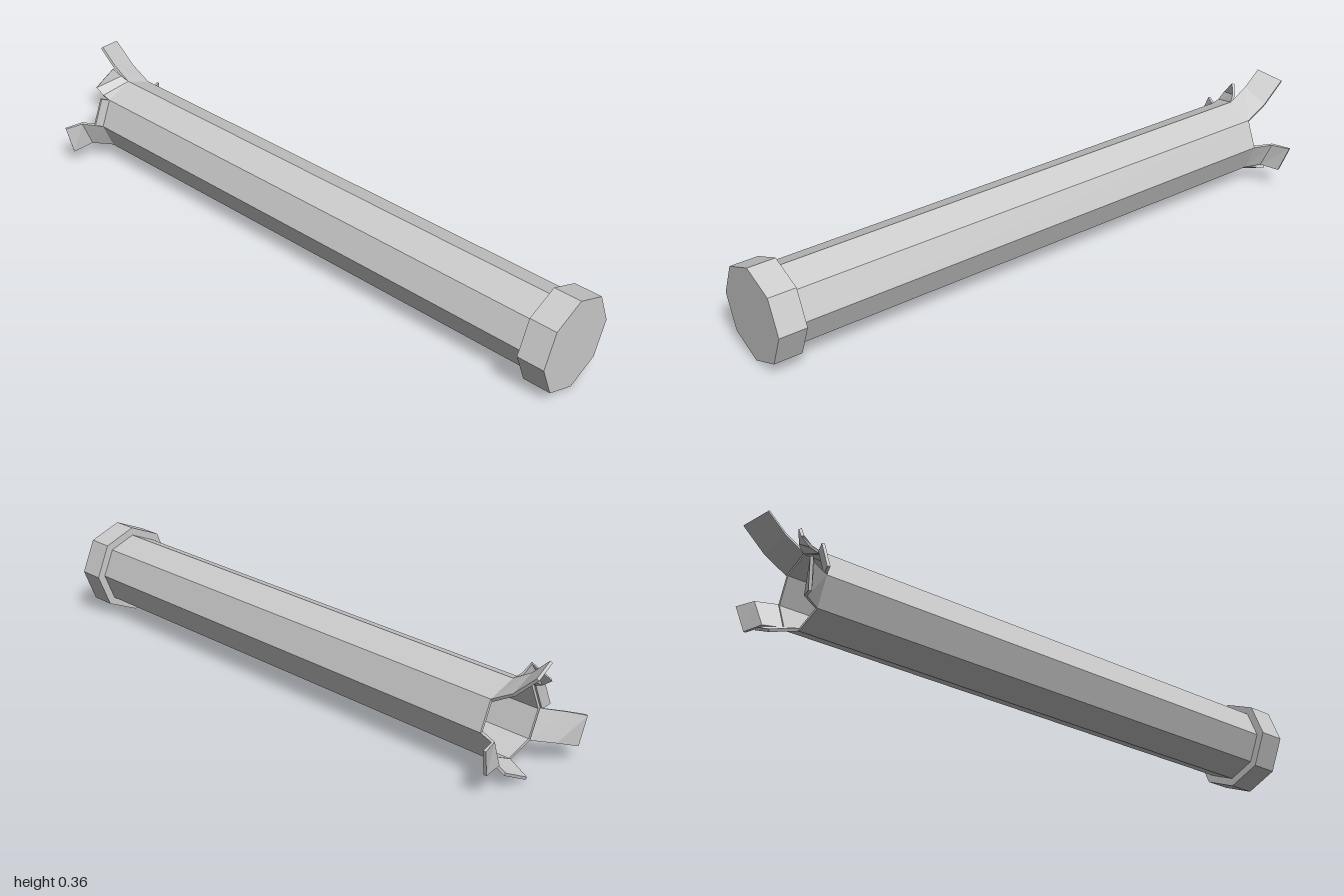
import * as THREE from 'three';

const SIDES = 8, RADIUS = 0.125, WALL = 0.009, AXIS_Y = 0.153, END_X = -0.85, CAP_X = 0.91;

const material = new THREE.MeshStandardMaterial({ color: 0xcccccc, flatShading: true });

// Corner k of the octagonal tube end, counted from the top towards +z (y is relative to the axis)
function corner(k) {
  const a = (k * Math.PI * 2) / SIDES;
  return new THREE.Vector3(END_X, RADIUS * Math.cos(a), RADIUS * Math.sin(a));
}

// Thin bent strip continuing one side of the tube; each station is a pair of outer edge points
function flapGeometry(side, pairs) {
  const stations = [[corner(side), corner(side + 1)]];
  for (const [a, b] of pairs) stations.push([new THREE.Vector3(...a), new THREE.Vector3(...b)]);
  const last = stations.length - 1;
  const mid = stations.map(([a, b]) => a.clone().add(b).multiplyScalar(0.5));
  const positions = [], index = [];

  // Four-cornered cross-section at every station: outer edge, then inner edge
  stations.forEach(([a, b], i) => {
    const along = mid[Math.min(i + 1, last)].clone().sub(mid[Math.max(i - 1, 0)]);
    const inward = along.cross(b.clone().sub(a)).normalize().multiplyScalar(-WALL);
    for (const p of [a, b, b.clone().add(inward), a.clone().add(inward)]) positions.push(p.x, p.y, p.z);
  });
  for (let i = 0; i < last; i++) {
    for (let j = 0; j < 4; j++) {
      const p = i * 4 + j, q = i * 4 + ((j + 1) % 4);
      index.push(p, p + 4, q + 4, p, q + 4, q);
    }
  }
  const e = last * 4;
  index.push(0, 1, 2, 0, 2, 3, e, e + 2, e + 1, e, e + 3, e + 2);

  const indexed = new THREE.BufferGeometry();
  indexed.setAttribute('position', new THREE.Float32BufferAttribute(positions, 3));
  indexed.setIndex(index);
  const geometry = indexed.toNonIndexed();
  geometry.computeVertexNormals();
  return geometry;
}

export function createModel() {
  const model = new THREE.Group();
  model.name = 'burstTube';

  function add(name, geometry) {
    const mesh = new THREE.Mesh(geometry, material);
    mesh.name = name;
    mesh.position.y = AXIS_Y;
    model.add(mesh);
  }

  // Hollow eight-sided tube, open at the torn end
  const inner = RADIUS - WALL;
  const profile = [[RADIUS, END_X], [RADIUS, CAP_X], [inner, CAP_X], [inner, END_X], [RADIUS, END_X]]
    .map(([r, x]) => new THREE.Vector2(r, x));
  add('tube', new THREE.LatheGeometry(profile, SIDES).rotateZ(-Math.PI / 2));

  // Solid end cap
  const capLength = 1 - CAP_X;
  add('endCap', new THREE.CylinderGeometry(0.152, 0.152, capLength, SIDES)
    .rotateZ(-Math.PI / 2).translate(CAP_X + capLength / 2, 0, 0));

  // Torn flaps peeled outwards from the open end
  const flaps = {
    topBackFlap: [-1, [
      [[-0.925, 0.128, -0.087], [-0.915, 0.162, 0]],
      [[-1, 0.194, -0.086], [-0.973, 0.213, 0]]]],
    topFrontFlap: [0, [
      [[-0.87, 0.143, 0.012], [-0.88, 0.096, 0.088]],
      [[-0.885, 0.174, 0.033], [-0.91, 0.115, 0.092]]]],
    upperFrontStub: [1, [
      [[-0.857, 0.1, 0.115], [-0.857, 0.012, 0.152]]]],
    lowerFrontFlap: [2, [
      [[-0.915, 0, 0.163], [-0.91, -0.088, 0.13]],
      [[-0.947, -0.013, 0.21], [-0.935, -0.106, 0.193]]]],
    bottomBackFlap: [4, [
      [[-0.93, -0.145, -0.022], [-0.925, -0.106, -0.108]]]],
    lowerBackFlap: [5, [
      [[-0.9, -0.085, -0.112], [-0.91, 0, -0.148]],
      [[-0.915, -0.083, -0.18], [-0.932, 0.002, -0.207]]]],
  };
  for (const [name, [side, pairs]] of Object.entries(flaps)) add(name, flapGeometry(side, pairs));

  return model;
}
